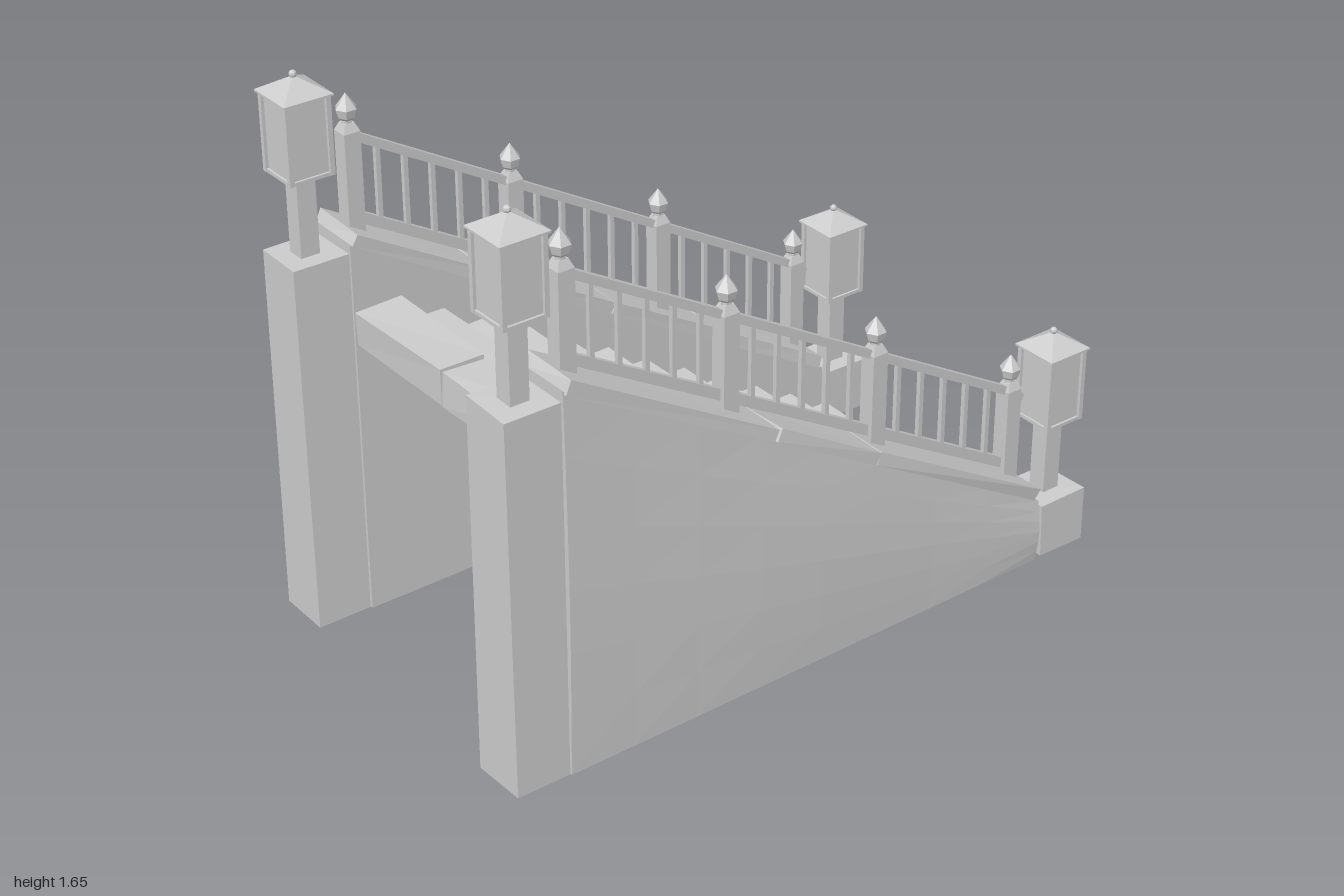
import * as THREE from 'three';

const mat = new THREE.MeshStandardMaterial({ color: 0xcccccc, flatShading: true });
const SLOPE = 0.579;
const ANGLE = Math.atan(SLOPE);
// Height of the coping surface at depth z
const copingY = (z) => 0.709 + SLOPE * z;

function seeded(seed) {
  return () => {
    seed = (seed * 16807) % 2147483647;
    return seed / 2147483647 - 0.5;
  };
}

function add(parent, name, geometry, x = 0, y = 0, z = 0) {
  const mesh = new THREE.Mesh(geometry, mat);
  mesh.name = name;
  mesh.position.set(x, y, z);
  parent.add(mesh);
  return mesh;
}

// Box given by its bottom centre
function block(parent, name, w, h, d, x, y, z) {
  return add(parent, name, new THREE.BoxGeometry(w, h, d), x, y + h / 2, z);
}

// Beam following the stair slope between two depths, its centre raised above the coping
function beam(parent, name, w, t, z0, z1, x, lift) {
  const zc = (z0 + z1) / 2;
  const geo = new THREE.BoxGeometry(w, t, (z1 - z0) / Math.cos(ANGLE));
  const mesh = add(parent, name, geo, x, copingY(zc) + lift, zc);
  mesh.rotation.x = -ANGLE;
  return mesh;
}

// Hand-cut stone: every corner shifted a little, shared corners together
function roughen(geometry, rnd, amount) {
  const p = geometry.attributes.position;
  const moved = new Map();
  for (let i = 0; i < p.count; i++) {
    const key = [p.getX(i), p.getY(i), p.getZ(i)].map((v) => v.toFixed(4)).join();
    if (!moved.has(key)) moved.set(key, [rnd() * amount, rnd() * amount, rnd() * amount]);
    const [dx, dy, dz] = moved.get(key);
    p.setXYZ(i, p.getX(i) + dx, p.getY(i) + dy, p.getZ(i) + dz);
  }
  geometry.computeVertexNormals();
}

// Treads: two slabs per step with a wandering joint, one step in a single piece
function buildSteps(group) {
  const rnd = seeded(77);
  const joints = [0.01, -0.06, -0.04, 0.055, 0.045, -0.01, 0.01, 0.02, null, 0.06, 0.04, 0.015];
  const depth = 0.137;
  joints.forEach((joint, i) => {
    const top = 0.07 + i * 0.08;
    const bottom = Math.max(0, top - 0.1);
    const z = -0.822 + depth * (i + 0.5);
    const spans = joint === null ? [[-0.395, 0.395]] : [[-0.395, joint - 0.005], [joint + 0.005, 0.395]];
    for (const [a, b] of spans) {
      const step = block(group, 'step', b - a, top - bottom, depth + 0.004, (a + b) / 2, bottom, z);
      roughen(step.geometry, rnd, 0.008);
    }
  });
}

// Side wall: sloping top and a slight outward bulge on the outer face
function buildWall(group, side) {
  const geo = new THREE.BoxGeometry(0.175, 1, 1.64, 1, 6, 8);
  const p = geo.attributes.position;
  for (let i = 0; i < p.count; i++) {
    const v = p.getY(i) + 0.5;
    const z = p.getZ(i) + 0.01;
    const outer = p.getX(i) * side > 0;
    const bulge = outer ? 0.013 * Math.sin(Math.PI * v) * (1 + 0.3 * Math.sin(z * 5 + side)) : 0;
    p.setXYZ(i, side * 0.4795 + p.getX(i) + side * bulge, v * (copingY(z) - 0.04), z);
  }
  geo.computeVertexNormals();
  add(group, 'sideWall', geo);
}

// Coping stones along the wall top
function buildCoping(group, side) {
  const cuts = side > 0 ? [-0.8, -0.19, 0.16, 0.82] : [-0.8, -0.4, -0.02, 0.41, 0.82];
  const rnd = seeded(side > 0 ? 13 : 31);
  for (let i = 0; i < cuts.length - 1; i++) {
    const stone = beam(group, 'copingStone', 0.188, 0.038, cuts[i] + 0.003, cuts[i + 1] - 0.003, side * 0.481, -0.022);
    roughen(stone.geometry, rnd, 0.007);
  }
}

// Railing post with a stepped neck and a faceted finial
function buildPost(group, x, z) {
  const post = new THREE.Group();
  post.name = 'railingPost';
  post.position.set(x, copingY(z), z);
  group.add(post);
  block(post, 'postShaft', 0.05, 0.3, 0.05, 0, -0.02, 0);
  const cap = add(post, 'postCap', new THREE.CylinderGeometry(0.02, 0.0354, 0.025, 4), 0, 0.2925, 0);
  cap.rotation.y = Math.PI / 4;
  const profile = [[0, 0.3], [0.016, 0.3], [0.016, 0.312], [0.024, 0.32], [0.031, 0.345], [0.024, 0.355], [0, 0.388]];
  add(post, 'postFinial', new THREE.LatheGeometry(profile.map(([r, y]) => new THREE.Vector2(r, y)), 6));
}

function buildRailing(group, side) {
  const x = side * 0.478;
  const posts = [-0.755, -0.248, 0.259, 0.766];
  posts.forEach((z) => buildPost(group, x, z));
  beam(group, 'handrail', 0.022, 0.024, -0.785, 0.766, x, 0.27);
  beam(group, 'bottomRail', 0.02, 0.03, -0.755, 0.766, x, 0.034);
  for (const z of [-0.788]) {
    const knob = add(group, 'handrailEnd', new THREE.CylinderGeometry(0.015, 0.015, 0.024, 8), x, copingY(z) + 0.262, z);
    knob.rotation.z = Math.PI / 2;
  }
  // Five balusters in each bay
  for (let bay = 0; bay < 3; bay++) {
    for (let i = 1; i <= 5; i++) {
      const z = posts[bay] + (i / 6) * 0.507;
      block(group, 'baluster', 0.014, 0.235, 0.014, x, copingY(z) + 0.035, z);
    }
  }
}

// Lantern on a short post, standing on a stone pier
function buildPier(group, x, z, height, rnd) {
  const pier = block(group, 'pier', 0.165, height, 0.165, x, 0, z);
  roughen(pier.geometry, rnd, 0.006);

  const lantern = new THREE.Group();
  lantern.name = 'lantern';
  lantern.position.set(x, height, z);
  group.add(lantern);
  block(lantern, 'lanternPost', 0.057, 0.225, 0.057, 0, -0.005, 0);
  block(lantern, 'lanternCollar', 0.066, 0.018, 0.066, 0, 0.216, 0);
  block(lantern, 'lanternBase', 0.132, 0.01, 0.132, 0, 0.234, 0);
  block(lantern, 'lanternPane', 0.118, 0.225, 0.118, 0, 0.238, 0);
  for (const sx of [-1, 1]) {
    for (const sz of [-1, 1]) {
      block(lantern, 'lanternCorner', 0.014, 0.228, 0.014, sx * 0.061, 0.234, sz * 0.061);
    }
  }
  block(lantern, 'lanternEave', 0.148, 0.006, 0.148, 0, 0.459, 0);
  const roof = add(lantern, 'lanternRoof', new THREE.CylinderGeometry(0.008, 0.105, 0.042, 4), 0, 0.486, 0);
  roof.rotation.y = Math.PI / 4;
  add(lantern, 'lanternKnob', new THREE.SphereGeometry(0.011, 8, 6), 0, 0.514, 0);
}

export function createModel() {
  const group = new THREE.Group();
  group.name = 'stoneStaircase';
  buildSteps(group);
  const rnd = seeded(5);
  for (const side of [-1, 1]) {
    buildWall(group, side);
    buildCoping(group, side);
    buildRailing(group, side);
    buildPier(group, side * 0.48, 0.915, 1.12, rnd);
    buildPier(group, side * 0.48, -0.915, 0.168, rnd);
  }
  return group;
}
